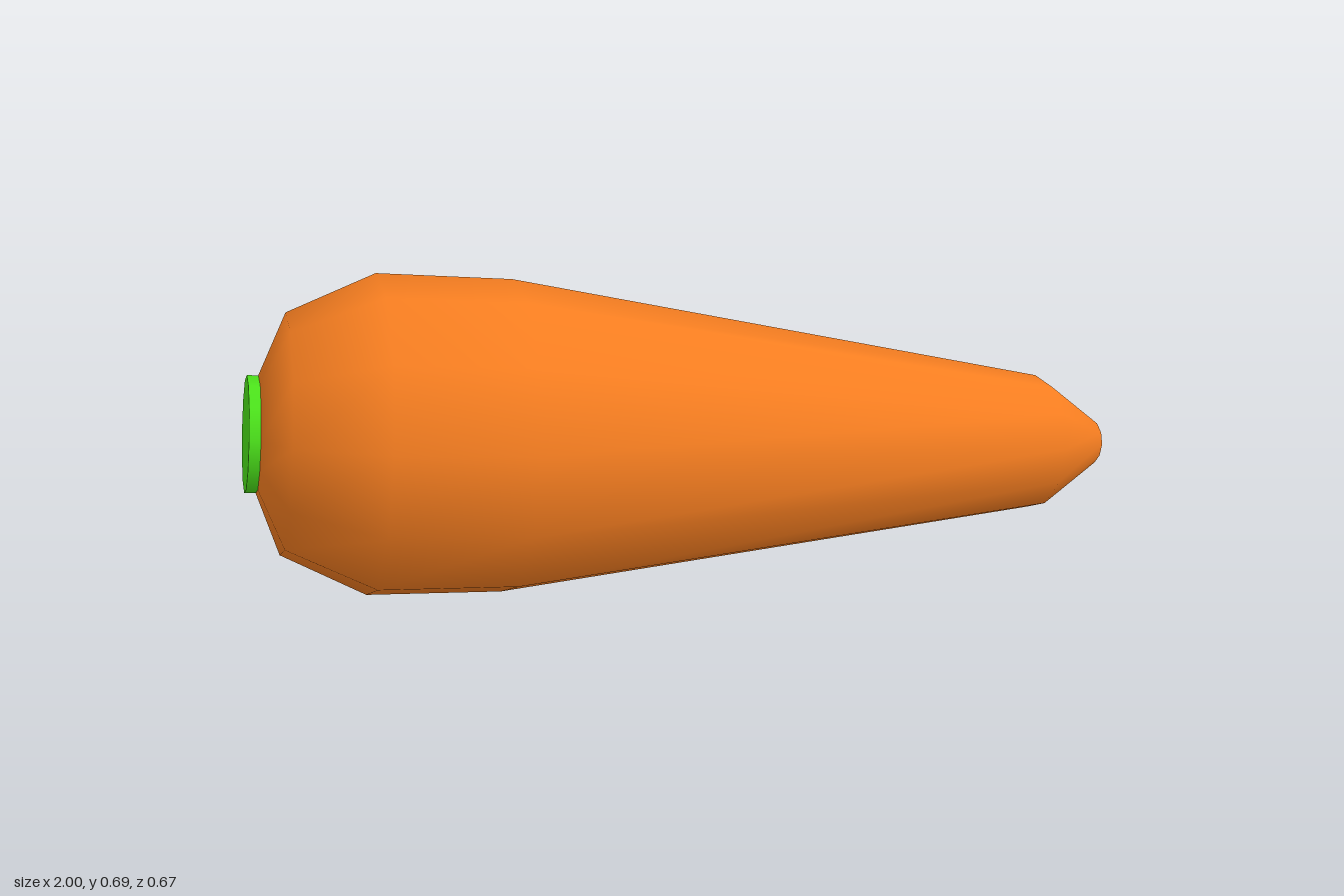
import * as THREE from 'three';

const SIDES = 12;

export function createModel() {
  const group = new THREE.Group();
  group.name = 'carrot';

  // Root: twelve-sided body turned round its long axis, [radius, position along axis] from crown to tip
  const profile = [
    [0, -0.972], [0.123, -0.972], [0.253, -0.921], [0.341, -0.74],
    [0.34, -0.45], [0.16, 0.839], [0.055, 1.002], [0, 1.002],
  ].map(([r, t]) => new THREE.Vector2(r, t));
  const root = new THREE.Mesh(
    new THREE.LatheGeometry(profile, SIDES, Math.PI / SIDES),
    new THREE.MeshStandardMaterial({ color: 0xf57d20 })
  );
  root.name = 'root';

  // Stem stub: thin green disc on the crown
  const stem = new THREE.Mesh(
    new THREE.CylinderGeometry(0.122, 0.122, 0.026, SIDES, 1, false, Math.PI / SIDES),
    new THREE.MeshStandardMaterial({ color: 0x4be01a })
  );
  stem.name = 'stem';
  stem.position.y = -0.982;

  // Lay the long axis along x, tip dropping down and drifting forward
  const axis = new THREE.Group();
  axis.name = 'lyingCarrot';
  axis.add(root, stem);
  axis.rotation.set(0, -0.05, -Math.PI / 2 - 0.134, 'YXZ');
  axis.position.set(0, 0.269, 0.034);
  group.add(axis);

  return group;
}
